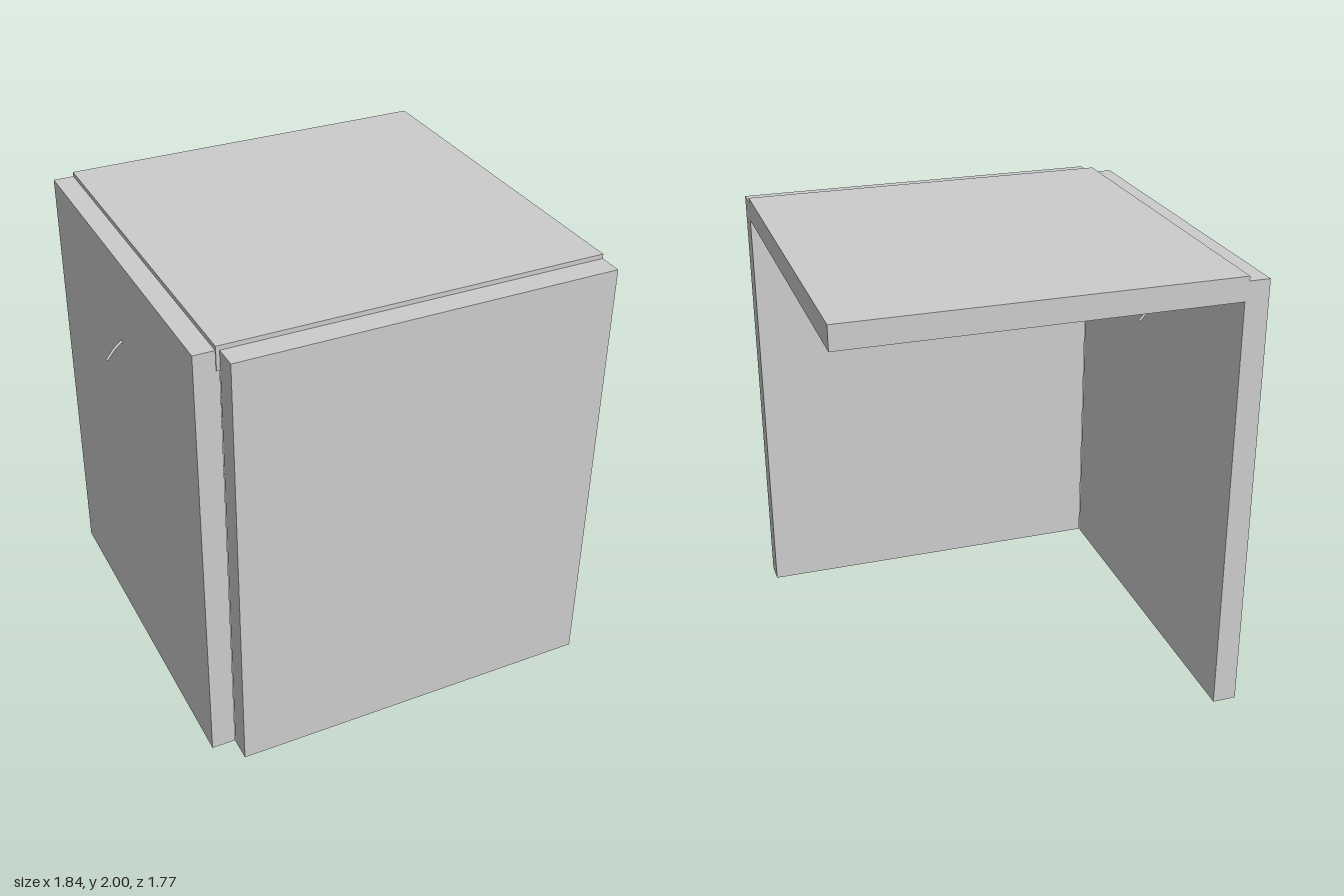
import * as THREE from 'three';

const V = (x, y, z) => new THREE.Vector3(x, y, z);

export function createModel() {
  const model = new THREE.Group();
  const material = new THREE.MeshStandardMaterial({ color: 0xcccccc });

  const add = (name, geometry, parent = model) => {
    const mesh = new THREE.Mesh(geometry, material);
    mesh.name = name;
    parent.add(mesh);
    return mesh;
  };

  // Slab given by its extents on each axis
  const slab = (name, [x0, x1], [y0, y1], [z0, z1]) =>
    add(name, new THREE.BoxGeometry(x1 - x0, y1 - y0, z1 - z0))
      .position.set((x0 + x1) / 2, (y0 + y1) / 2, (z0 + z1) / 2);

  // Curved strand with rounded ends
  const strand = (name, points, radius, parent = model) => {
    const curve = new THREE.CatmullRomCurve3(points);
    add(name, new THREE.TubeGeometry(curve, 14, radius, 8), parent);
    for (const end of [points[0], points[points.length - 1]])
      add(name + 'End', new THREE.SphereGeometry(radius, 8, 6), parent).position.copy(end);
  };

  // Two walls and the ceiling, meeting in one corner
  slab('frontWall', [-0.74, 0.915], [0, 1.98], [0.78, 0.885]);
  slab('sideWall', [-0.845, -0.74], [0, 1.98], [-0.885, 0.775]);
  slab('ceiling', [-0.755, 0.915], [1.895, 2], [-0.885, 0.78]);

  // Spider web stretched across the corner
  const web = new THREE.Group();
  web.name = 'spiderWeb';
  model.add(web);
  const hub = V(-0.567, 1.659, 0.557);
  const tips = [
    V(-0.477, 1.89, 0.775), V(-0.535, 1.897, 0.547), V(-0.676, 1.897, 0.393), V(-0.741, 1.664, 0.372),
    V(-0.74, 1.468, 0.457), V(-0.629, 1.42, 0.61), V(-0.538, 1.463, 0.775), V(-0.435, 1.653, 0.775),
  ];
  add('hub', new THREE.SphereGeometry(0.02, 12, 8), web).position.copy(hub);

  // Spokes
  for (const tip of tips) {
    const along = tip.clone().sub(hub);
    const spoke = add('spoke', new THREE.CapsuleGeometry(0.014, along.length(), 4, 10), web);
    spoke.position.copy(hub).addScaledVector(along, 0.5);
    spoke.quaternion.setFromUnitVectors(V(0, 1, 0), along.normalize());
  }

  // Rings of threads sagging towards the hub between neighbouring spokes
  for (const f of [0.84, 0.68, 0.5]) {
    tips.forEach((tip, i) => {
      const a = hub.clone().lerp(tip, f);
      const b = hub.clone().lerp(tips[(i + 1) % tips.length], f);
      const middle = a.clone().lerp(b, 0.5).lerp(hub, 0.1);
      strand('ringThread', [a, middle, b], 0.009, web);
    });
  }

  // Loose thread curling from the lowest spoke to the side wall
  strand('looseThread', [
    tips[5], V(-0.655, 1.385, 0.63), V(-0.695, 1.362, 0.665), V(-0.742, 1.355, 0.7),
  ], 0.012, web);

  // Small arched thread passing through the side wall
  strand('wallThread', [
    V(-0.915, 1.525, -0.057), V(-0.88, 1.567, -0.058), V(-0.845, 1.594, -0.059), V(-0.79, 1.61, -0.06),
    V(-0.74, 1.594, -0.059), V(-0.705, 1.567, -0.058), V(-0.668, 1.525, -0.057),
  ], 0.006);

  return model;
}
